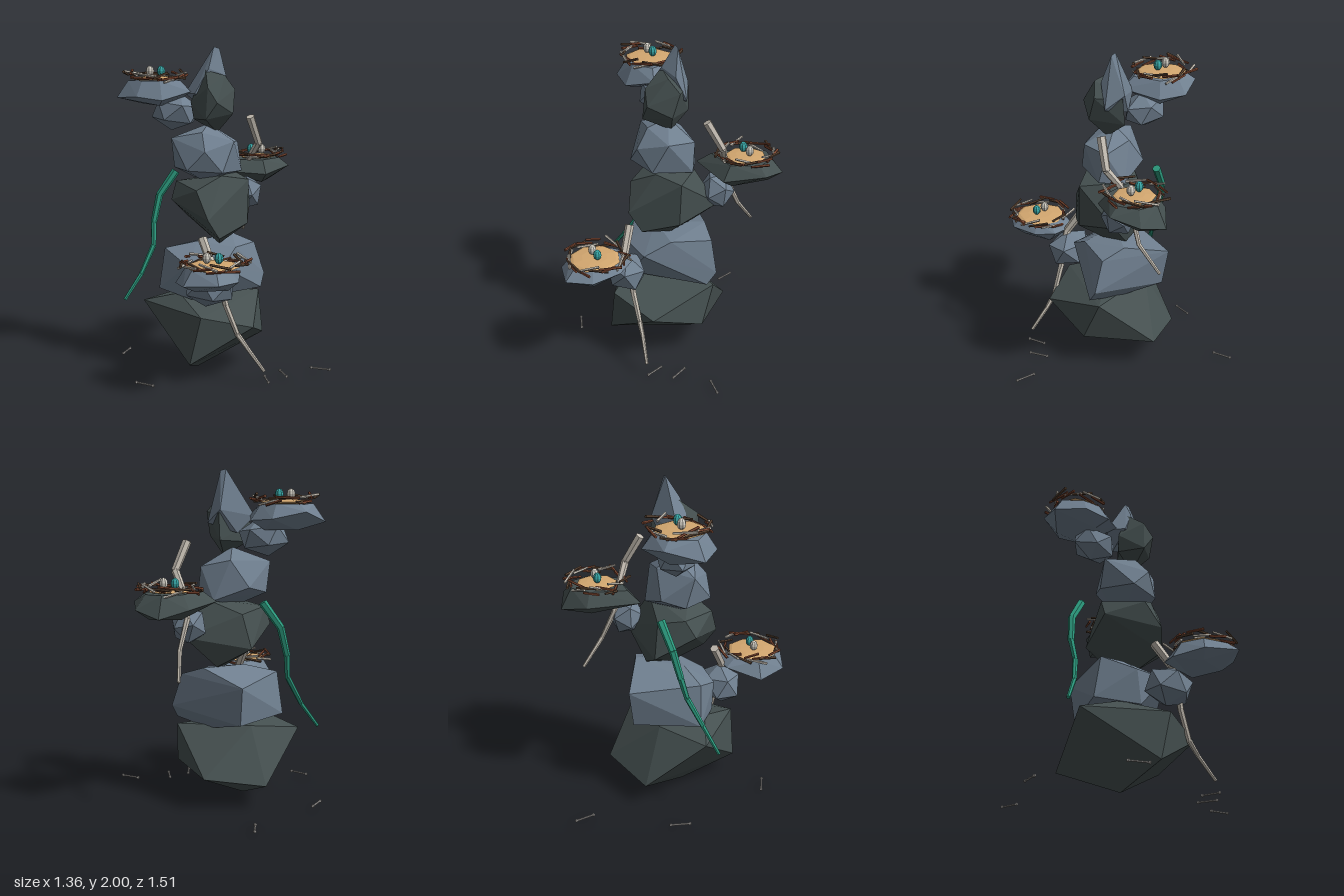
import * as THREE from 'three';
import { ConvexGeometry } from 'three/addons/geometries/ConvexGeometry.js';

const mat = (name, color) => Object.assign(new THREE.MeshStandardMaterial({ color }), { name });
const V = (p) => new THREE.Vector3(...p);

export function createModel() {
  const root = new THREE.Group();
  root.name = 'nestingRockStack';
  const M = {
    dark: mat('darkStone', 0x455050),
    slate: mat('slateStone', 0x708090),
    vine: mat('greenVine', 0x2c9a7e),
    wood: mat('paleRoot', 0xc4bdb2),
    brown: mat('brownTwig', 0x7c4630),
    umber: mat('darkTwig', 0x5a4433),
    straw: mat('straw', 0xd4a870),
    teal: mat('tealEgg', 0x3aabab),
    white: mat('paleEgg', 0xd4d0c6),
    bone: mat('bone', 0xa9a6a3),
  };
  let seed = 7;
  const rnd = () => (seed = (seed * 16807) % 2147483647) / 2147483647;

  const add = (name, geo, material, parent = root) => {
    const mesh = new THREE.Mesh(geo, material);
    mesh.name = name;
    parent.add(mesh);
    return mesh;
  };
  const flat = (geo) => {
    const g = geo.index ? geo.toNonIndexed() : geo;
    g.computeVertexNormals();
    return g;
  };
  const rock = (name, material, pts) => add(name, new ConvexGeometry(pts.map(V)), material);

  // Straight rod between two points, tapering from r0 to r1
  const rod = (name, a, b, r0, r1, material, parent, sides = 6) => {
    const d = b.clone().sub(a);
    const m = add(name, flat(new THREE.CylinderGeometry(r1, r0, d.length(), sides)), material, parent);
    m.position.copy(a).addScaledVector(d, 0.5);
    m.quaternion.setFromUnitVectors(new THREE.Vector3(0, 1, 0), d.normalize());
    return m;
  };
  // Crooked root made of tapering rods
  const crooked = (name, pts, r0, r1, material) => {
    const g = new THREE.Group();
    g.name = name;
    root.add(g);
    const p = pts.map(V), n = p.length - 1;
    const rad = (i) => r0 + (r1 - r0) * i / n;
    for (let i = 0; i < n; i++) {
      const ext = p[i + 1].clone().sub(p[i]).setLength(0.004);
      rod(name + 'Segment', p[i], p[i + 1].clone().add(ext), rad(i), rad(i + 1), material, g);
    }
  };

  // Stacked boulders, bottom to top
  rock('baseBoulder', M.dark, [
    [-.16, 0, .01], [-.39, .14, -.3], [-.5, .43, .05], [-.09, .41, .36], [-.16, .115, .355], [.235, .21, -.1],
    [.21, .33, .24], [.2, .46, -.2], [-.26, .5, .12], [-.05, .19, -.44], [-.26, .47, -.17]]);
  rock('secondBoulder', M.slate, [
    [-.36, .77, .06], [-.16, .81, .02], [-.4, .51, .05], [-.17, .48, .2], [-.2, .69, .2], [.02, .69, .2],
    [.22, .49, -.14], [.235, .57, -.2], [.17, .77, -.2], [.02, .82, -.24], [-.26, .73, -.36], [-.24, .5, -.33],
    [0, .44, -.18], [.08, .78, .04]]);
  rock('thirdBoulder', M.dark, [
    [-.3, 1.18, -.02], [-.32, 1.07, .04], [-.27, .94, -.2], [-.03, .79, -.02], [.15, .93, .02], [.155, 1.2, .01],
    [-.14, 1.15, .2], [-.06, .98, .26], [0, .86, .2], [0, 1.23, .1], [.05, 1.23, -.14], [.13, 1, -.26],
    [-.05, .82, -.19], [-.2, 1.14, -.16]]);
  rock('fourthBoulder', M.slate, [
    [-.32, 1.45, .03], [-.1, 1.535, -.04], [.07, 1.435, .05], [-.09, 1.38, .18], [-.2, 1.265, .17],
    [.01, 1.25, .13], [-.31, 1.265, -.02], [.1, 1.24, -.1], [-.12, 1.18, 0], [-.12, 1.46, -.14],
    [-.03, 1.22, -.19], [-.24, 1.3, -.15], [.07, 1.42, -.13], [-.12, 1.49, .09]]);
  rock('topBoulder', M.dark, [
    [-.2, 1.67, .02], [-.11, 1.86, 0], [.01, 1.83, .02], [.065, 1.745, -.03], [.06, 1.6, .02], [-.045, 1.48, -.03],
    [-.185, 1.565, 0], [-.02, 1.67, .145], [-.09, 1.57, .14], [-.08, 1.76, .125], [-.05, 1.74, -.15], [-.06, 1.58, -.16]]);
  rock('peak', M.slate, [
    [-.07, 2, -.07], [-.035, 1.99, -.07], [-.245, 1.72, -.05], [-.17, 1.72, .05], [-.09, 1.87, .01],
    [.01, 1.83, -.03], [.04, 1.68, -.09], [-.06, 1.76, -.155], [-.15, 1.62, -.1]]);

  // Small stones wedged between the stack and each ledge
  [['frontBracket', [-.045, .59, .3], [.165, .125, .13]],
    ['backBracket', [.1, 1.08, -.27], [.115, .12, .11]],
    ['sideBracket', [-.31, 1.6, -.09], [.16, .115, .12]]].forEach(([name, c, s], i) => {
    const g = new THREE.IcosahedronGeometry(1, 0).rotateZ(i + 0.4).scale(...s);
    add(name, flat(g), M.slate).position.set(...c);
  });

  // Flat ledge rock: irregular rim with an inset top and a smaller underside
  const ledge = (name, material, c, yBot, yTop, rim) => {
    const pts = [...rim];
    rim.forEach(([x, , z], i) => {
      const at = (k, y) => pts.push([c[0] + (x - c[0]) * k, y, c[1] + (z - c[1]) * k]);
      at(0.7, yTop);
      if (i % 2) at(0.6, yBot);
    });
    rock(name, material, pts);
  };
  ledge('frontLedge', M.slate, [0, .53], .64, .763,
    [[-.215, .66, .51], [-.14, .68, .69], [.07, .705, .755], [.165, .7, .62], [.15, .71, .43],
      [.08, .73, .31], [-.1, .72, .32]]);
  ledge('backLedge', M.dark, [.155, -.44], 1.14, 1.285,
    [[.14, 1.155, -.67], [.3, 1.2, -.62], [.37, 1.235, -.45], [.24, 1.2, -.23], [-.06, 1.22, -.22], [0, 1.2, -.54]]);
  ledge('sideLedge', M.slate, [-.44, -.1], 1.645, 1.795,
    [[-.67, 1.69, -.03], [-.6, 1.75, -.24], [-.42, 1.71, -.315], [-.27, 1.7, -.24], [-.2, 1.73, 0],
      [-.36, 1.68, .11], [-.52, 1.7, .09]]);

  // Nests: straw pad, ring of twigs, pair of eggs
  const nest = (name, c, padR, ringR, tealSide) => {
    const g = new THREE.Group();
    g.name = name;
    g.position.set(...c);
    root.add(g);
    add('strawPad', flat(new THREE.SphereGeometry(padR, 8, 6).scale(1, 0.1, 1)), M.straw, g);
    const colours = [M.brown, M.umber, M.wood, M.brown, M.umber, M.brown, M.wood];
    for (let i = 0; i < 25; i++) {
      const a = (i + rnd() * 0.8) / 25 * Math.PI * 2, r = ringR * (0.84 + rnd() * 0.26);
      const dir = a + Math.PI / 2 + (rnd() - 0.5) * 0.9, h = 0.045 + rnd() * 0.025;
      const mid = new THREE.Vector3(Math.cos(a) * r, -0.006 + rnd() * 0.045, Math.sin(a) * r);
      const off = new THREE.Vector3(Math.cos(dir) * h, (rnd() - 0.5) * 0.035, Math.sin(dir) * h);
      rod('twig', mid.clone().sub(off), mid.clone().add(off), 0.009, 0.007, colours[i % 7], g, 5);
    }
    for (const s of [-1, 1]) {
      const egg = flat(new THREE.SphereGeometry(0.026, 8, 6).scale(1, 1.25, 1));
      add('egg', egg, s === tealSide ? M.teal : M.white, g).position.set(s * 0.035, 0.046, -0.003);
    }
  };
  nest('frontNest', [.005, .768, .53], .16, .178, 1);
  nest('backNest', [.157, 1.295, -.44], .125, .168, -1);
  nest('sideNest', [-.44, 1.805, -.1], .15, .173, 1);

  // Hanging vine and roots
  crooked('vine', [[-.33, 1.22, -.18], [-.43, 1.07, -.14], [-.46, .9, -.1], [-.455, .76, -.06],
    [-.52, .59, .02], [-.61, .44, .09]], .026, .011, M.vine);
  crooked('frontRoot', [[-.1, .87, .235], [-.03, .72, .31], [.02, .6, .3], [.05, .48, .295], [.12, .3, .29],
    [.18, .22, .3], [.285, .09, .33]], .028, .01, M.wood);
  crooked('backRoot', [[.145, 1.57, -.165], [.19, 1.4, -.25], [.13, 1.3, -.3], [.08, 1.13, -.35],
    [.1, .95, -.43], [.06, .79, -.56]], .028, .01, M.wood);

  // Scattered bones: x,z of both ends
  [[-.445, -.75, -.417, -.64], [-.655, -.22, -.675, -.107], [-.47, .433, -.36, .48],
    [.555, .026, .67, .05], [.365, .105, .413, .212], [.28, .225, .312, .333]].forEach(([x0, z0, x1, z1]) => {
    const g = new THREE.Group();
    g.name = 'bone';
    root.add(g);
    const ends = [V([x0, .022, z0]), V([x1, .022, z1])];
    rod('shaft', ends[0], ends[1], .006, .006, M.bone, g);
    for (const e of ends) add('knob', flat(new THREE.SphereGeometry(.01, 6, 5)), M.bone, g).position.copy(e);
  });
  return root;
}
